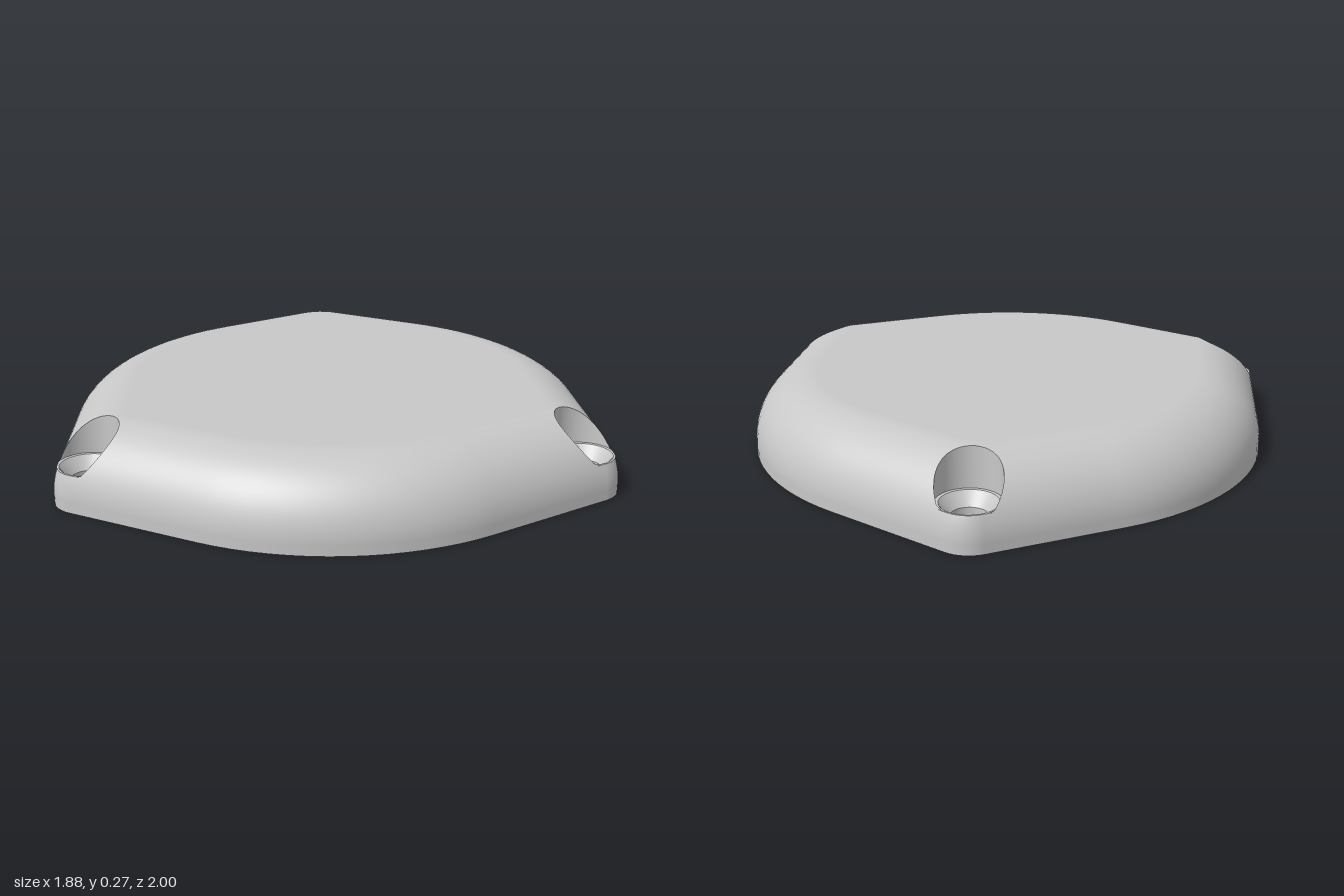
import * as THREE from 'three';
import { toCreasedNormals } from 'three/addons/utils/BufferGeometryUtils.js';

const RAD = Math.PI / 180;
const CZ = 0.065;                    // body centre along z
const R = 0.935, LOBE = 0.12;        // main radius, corner radius
const TILT = 30.4;                   // angle of the tangent sides beside each corner
const HEIGHT = 0.269, FILLET = 0.234; // overall height, top edge rounding
const BASE = HEIGHT - FILLET;
const HOLE_DIST = 0.948, BORE = 0.107, SINK = 0.095, HOLE = 0.06;
const LEDGE = 0.125, SINK_BOTTOM = 0.08;
const POCKET = 0.2, NOTCH = 0.045;   // recess depths

const dir = (deg) => new THREE.Vector2(Math.sin(deg * RAD), -Math.cos(deg * RAD));
const lobes = [0, 120, 240];
const holes = lobes.map((a) => dir(a).multiplyScalar(HOLE_DIST).add(new THREE.Vector2(0, CZ)));

// Outline inset by d: three rounded corners joined to a circle by tangents
function outline(d) {
  const r = Math.max(LOBE - d, 0);
  const dist = (R - d - r) / Math.cos(TILT * RAD);
  const out = [];
  const add = (p, a) => out.push({ p: p.clone().add(new THREE.Vector2(0, CZ)), n: dir(a) });
  for (const a of lobes) {
    const corner = (b, c) => dir(c).multiplyScalar(dist).addScaledVector(dir(b), r);
    const start = a + TILT, end = a + 120 - TILT;
    for (let i = -4; i <= 4; i++) add(corner(a + i * TILT / 4, a), a + i * TILT / 4);
    const s = dir(start).multiplyScalar(R - d), e = dir(end).multiplyScalar(R - d);
    for (let i = 1; i < 20; i++) add(corner(start, a).lerp(s, i / 20), start);
    for (let i = 0; i <= 16; i++) {
      const b = start + (end - start) * i / 16;
      add(dir(b).multiplyScalar(R - d), b);
    }
    for (let i = 1; i < 20; i++) add(e.clone().lerp(corner(end, a + 120), i / 20), end);
  }
  return out;
}

// Positive where a screw bore removes the skin
function cutValue(v) {
  const inside = holes.map((h) => BORE - Math.hypot(v.x - h.x, v.z - h.y));
  return Math.min(Math.max(...inside), v.y - LEDGE);
}

// Rounded side skin, trimmed by the bores
function skinGeometry() {
  const steps = 24, rows = [];
  const row = (d, y, t) => rows.push(outline(d).map(({ p, n }) => ({
    p: new THREE.Vector3(p.x, y, p.y),
    n: new THREE.Vector3(n.x * Math.cos(t), Math.sin(t), n.y * Math.cos(t)),
  })));
  row(0, 0, 0);
  for (let i = 0; i <= steps; i++) {
    const t = (i / steps) * Math.PI / 2;
    row(FILLET * (1 - Math.cos(t)), BASE + FILLET * Math.sin(t), t);
  }
  const pos = [], nor = [];
  const emit = (a, b, c) => {
    const face = b.p.clone().sub(a.p).cross(c.p.clone().sub(a.p));
    if (face.length() < 1e-9) return;
    const order = face.dot(a.n.clone().add(b.n).add(c.n)) > 0 ? [a, b, c] : [a, c, b];
    for (const v of order) { pos.push(...v.p.toArray()); nor.push(...v.n.toArray()); }
  };
  const clip = (tri) => {
    const poly = [];
    tri.forEach((a, i) => {
      const b = tri[(i + 1) % 3], ga = cutValue(a.p), gb = cutValue(b.p);
      if (ga <= 0) poly.push(a);
      if ((ga <= 0) !== (gb <= 0)) {
        const k = ga / (ga - gb);
        poly.push({ p: a.p.clone().lerp(b.p, k), n: a.n.clone().lerp(b.n, k).normalize() });
      }
    });
    for (let i = 2; i < poly.length; i++) emit(poly[0], poly[i - 1], poly[i]);
  };
  for (let i = 0; i + 1 < rows.length; i++) {
    const lo = rows[i], hi = rows[i + 1];
    lo.forEach((a, j) => {
      const k = (j + 1) % lo.length;
      clip([a, lo[k], hi[k]]);
      clip([a, hi[k], hi[j]]);
    });
  }
  const g = new THREE.BufferGeometry();
  g.setAttribute('position', new THREE.Float32BufferAttribute(pos, 3));
  g.setAttribute('normal', new THREE.Float32BufferAttribute(nor, 3));
  return g;
}

// Flat horizontal face from (x, z) points
function flatFace(points, y, cutouts = []) {
  const flip = (list) => list.map((p) => new THREE.Vector2(p.x, -p.y));
  const shape = new THREE.Shape(flip(points));
  shape.holes = cutouts.map((c) => new THREE.Path(flip(c)));
  return new THREE.ShapeGeometry(shape).rotateX(-Math.PI / 2).translate(0, y, 0);
}

// Vertical wall along a closed loop of (x, z) points
function wall(points, y0, y1) {
  const pos = [];
  points.forEach((a, i) => {
    const b = points[(i + 1) % points.length];
    pos.push(a.x, y0, a.y, b.x, y0, b.y, b.x, y1, b.y, a.x, y0, a.y, b.x, y1, b.y, a.x, y1, a.y);
  });
  const g = new THREE.BufferGeometry();
  g.setAttribute('position', new THREE.Float32BufferAttribute(pos, 3));
  g.computeVertexNormals();
  return toCreasedNormals(g, 30 * RAD);
}

// Recess: square at the back, rounded at the front, one notch on each side (s = 1 or -1)
const BACK = -0.35, FRONT = 0.73, HALF = 0.54, ROUND = 0.2;
const notch = (s) => [[HALF, 0], [0.86, 0], [0.86, 0.352], [HALF, 0.352]]
  .map(([x, z]) => new THREE.Vector2(s * x, z));
function pocketOutline(withNotches) {
  const pts = [new THREE.Vector2(-HALF, BACK), new THREE.Vector2(HALF, BACK)];
  if (withNotches) pts.push(...notch(1));
  for (const [s, start] of [[1, 0], [-1, 90]]) {
    for (let i = 0; i <= 12; i++) {
      const a = (start + i * 7.5) * RAD;
      pts.push(new THREE.Vector2(s * (HALF - ROUND) + ROUND * Math.cos(a), FRONT - ROUND + ROUND * Math.sin(a)));
    }
  }
  if (withNotches) pts.push(...notch(-1).reverse());
  return pts;
}

export function createModel() {
  const model = new THREE.Group();
  const grey = new THREE.MeshStandardMaterial({ color: 0xc8c8c8, side: THREE.DoubleSide });
  grey.name = 'lightGrey';
  const add = (name, geometry, parent = model) => {
    const mesh = new THREE.Mesh(geometry, grey);
    mesh.name = name;
    parent.add(mesh);
    return mesh;
  };

  // Outer shell
  add('roundedSide', skinGeometry());
  add('topFace', flatFace(outline(FILLET).map((o) => o.p), HEIGHT));
  const circle = (c) => Array.from({ length: 48 }, (_, i) => dir(i * 7.5).multiplyScalar(HOLE).add(c));
  add('underside', flatFace(outline(0).map((o) => o.p), 0, [pocketOutline(true), ...holes.map(circle)]));

  // Screw seats: bore wall, ledge, countersink and through hole
  const lathe = (...pts) => new THREE.LatheGeometry(pts.map(([r, y]) => new THREE.Vector2(r, y)), 96);
  const inset = FILLET - Math.sqrt(FILLET ** 2 - (LEDGE - BASE) ** 2);
  // Trims the bore to the outline and its rim to the rounded surface; outward is -z
  const trim = (g) => {
    const p = g.attributes.position, tilt = TILT * RAD;
    for (let i = 0; i < p.count; i++) {
      let x = p.getX(i), z = p.getZ(i);
      if (Math.hypot(x, z) < BORE - 0.001) continue;
      const phi = Math.abs(Math.atan2(x, -z));
      const off = Math.max(phi - tilt, 0);
      const reach = off < 1.5 ? (LOBE - inset) / Math.cos(off) : BORE;
      const k = Math.min(1, reach / BORE);
      x *= k; z *= k;
      const along = (HOLE_DIST - z) * Math.cos(tilt) + Math.abs(x) * Math.sin(tilt);
      const d = THREE.MathUtils.clamp(phi < tilt ? LOBE - BORE * k : R - along, 0, FILLET);
      const surface = BASE + Math.sqrt(FILLET ** 2 - (FILLET - d) ** 2);
      p.setXYZ(i, x, p.getY(i) > LEDGE + 0.01 ? Math.max(surface, LEDGE) : LEDGE, z);
    }
    return g;
  };
  holes.forEach((h, i) => {
    const seat = new THREE.Group();
    seat.name = 'screwSeat' + (i + 1);
    seat.position.set(h.x, 0, h.y);
    seat.rotation.y = -lobes[i] * RAD;
    add('boreWall', trim(lathe([BORE, HEIGHT], [BORE, LEDGE])), seat);
    add('boreLedge', trim(lathe([BORE, LEDGE], [SINK, LEDGE])), seat);
    add('countersink', lathe([SINK, LEDGE], [HOLE, SINK_BOTTOM]), seat);
    add('throughHole', lathe([HOLE, SINK_BOTTOM], [HOLE, 0]), seat);
    model.add(seat);
  });

  // Recess in the underside with two shallow notches and a round boss
  add('recessRim', wall(pocketOutline(true), 0, NOTCH));
  add('recessWall', wall(pocketOutline(false), NOTCH, POCKET));
  add('recessCeiling', flatFace(pocketOutline(false), POCKET));
  for (const s of [1, -1]) add('notchCeiling', flatFace(notch(s), NOTCH));
  add('roundBoss', new THREE.CylinderGeometry(0.2, 0.2, 0.025, 64)).position.set(0, POCKET - 0.0125, 0.18);
  return model;
}
